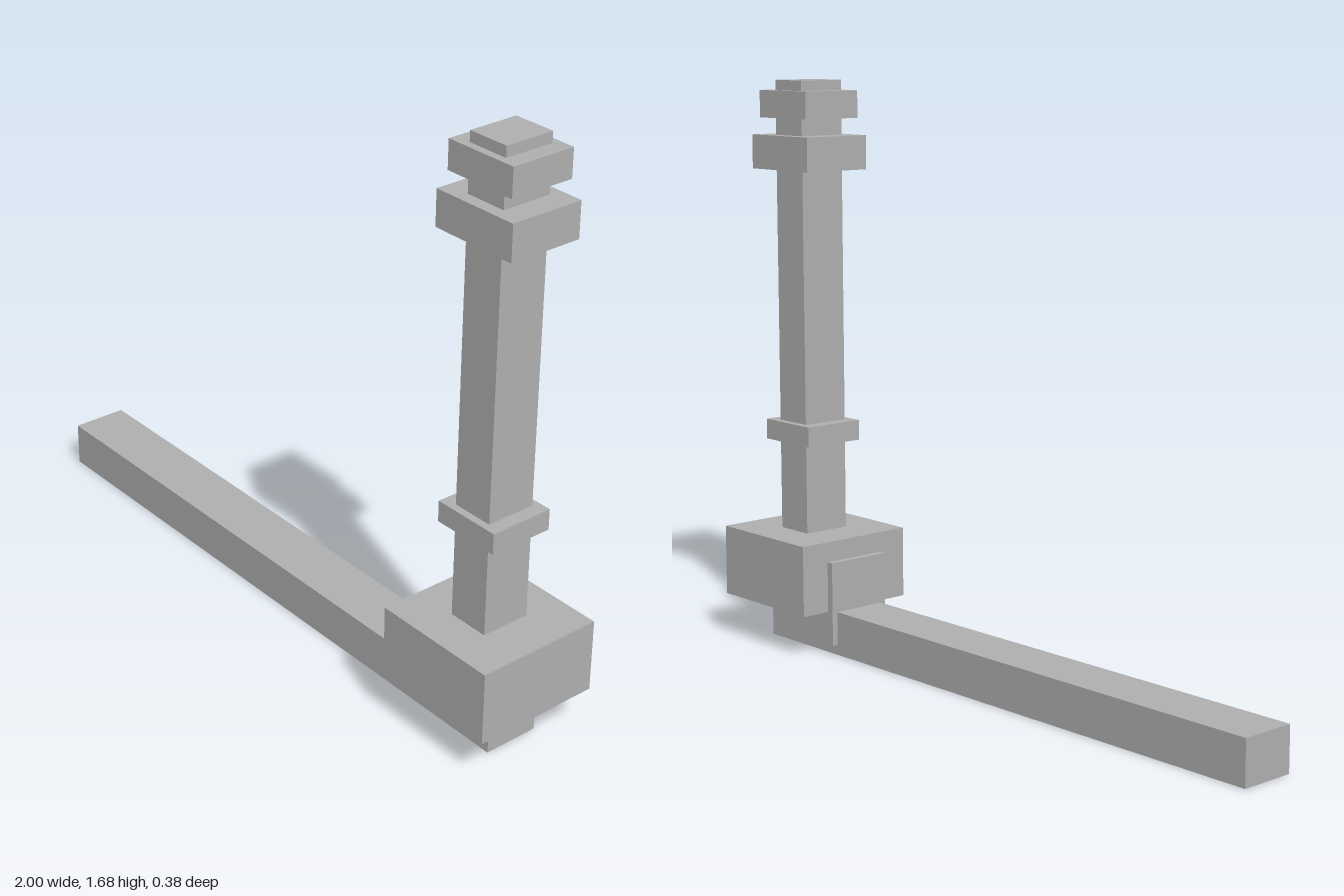
import * as THREE from 'three';

export function createModel() {
  const model = new THREE.Group();
  const grey = new THREE.MeshStandardMaterial({ color: 0xb0b0b0 });
  grey.name = 'grey';

  // Box given by its x and y ranges and its depth, centred on z = 0
  const box = (name, x0, x1, y0, y1, depth) => {
    const mesh = new THREE.Mesh(new THREE.BoxGeometry(x1 - x0, y1 - y0, depth), grey);
    mesh.position.set((x0 + x1) / 2, (y0 + y1) / 2, 0);
    mesh.name = name;
    model.add(mesh);
  };

  // Long horizontal bar with the bracket wrapped round it
  box('bar', -1, 0.91, 0, 0.13, 0.165);
  box('bracket', 0.595, 0.765, 0.03, 0.28, 0.2);

  // Block, post and rings share one upright axis
  const axis = 0.807;
  const upright = (name, width, y0, y1, depth) =>
    box(name, axis - width / 2, axis + width / 2, y0, y1, depth);
  upright('block', 0.382, 0.13, 0.34, 0.38);
  upright('post', 0.123, 0.34, 1.68, 0.147);
  upright('lowerRing', 0.203, 0.61, 0.67, 0.191);
  upright('collar', 0.262, 1.42, 1.52, 0.218);
  upright('topRing', 0.219, 1.57, 1.65, 0.191);

  return model;
}
